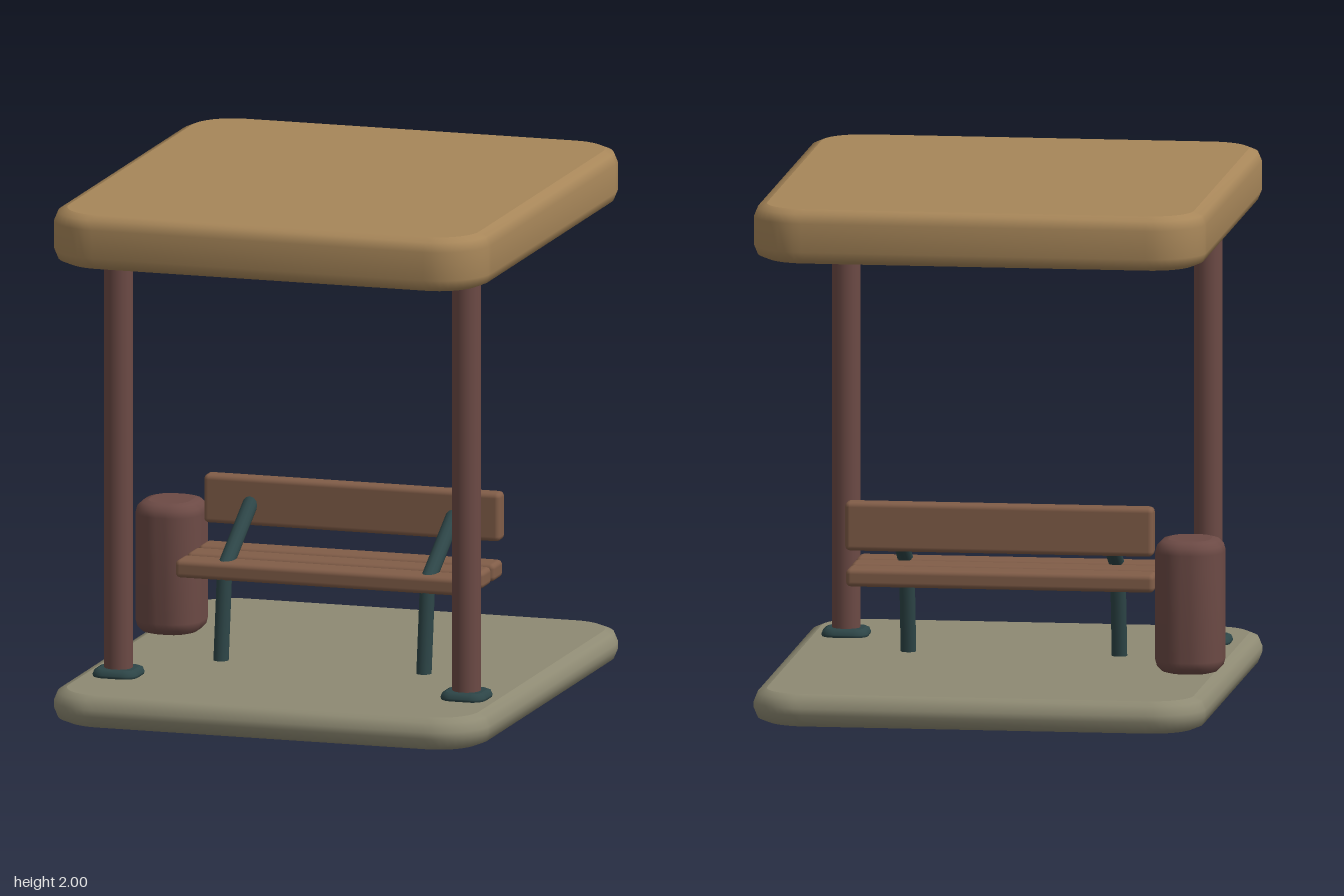
import * as THREE from 'three';
import { mergeVertices, mergeGeometries } from 'three/addons/utils/BufferGeometryUtils.js';
import { RoundedBoxGeometry } from 'three/addons/geometries/RoundedBoxGeometry.js';

const material = (name, color) => {
  const m = new THREE.MeshStandardMaterial({ color });
  m.name = name;
  return m;
};

// Upright pad with rounded plan corners, a smooth bevelled rim and flat caps; bottom at y = 0
function padGeometry(w, d, h, radius, bevel, bevelSegments = 2) {
  const x = w / 2 - bevel, y = d / 2 - bevel, r = radius - bevel, q = Math.PI / 2;
  const shape = new THREE.Shape();
  shape.absarc(x - r, y - r, r, 0, q);
  shape.absarc(-x + r, y - r, r, q, 2 * q);
  shape.absarc(-x + r, -y + r, r, 2 * q, 3 * q);
  shape.absarc(x - r, -y + r, r, 3 * q, 4 * q);
  const raw = new THREE.ExtrudeGeometry(shape, {
    depth: h - 2 * bevel, bevelSize: bevel, bevelThickness: bevel, bevelSegments, curveSegments: 5,
  });
  // group 0 holds the caps, group 1 the rim: smooth the rim only
  const parts = raw.groups.map(({ start, count }, i) => {
    const p = raw.attributes.position.array.slice(start * 3, (start + count) * 3);
    let g = new THREE.BufferGeometry();
    g.setAttribute('position', new THREE.BufferAttribute(p, 3));
    if (i === 1) g = mergeVertices(g, 1e-4);
    g.computeVertexNormals();
    return g.index ? g.toNonIndexed() : g;
  });
  return mergeGeometries(parts).translate(0, 0, bevel).rotateX(-Math.PI / 2);
}

export function createModel() {
  const model = new THREE.Group();
  model.name = 'benchShelter';
  const roofTan = material('roofTan', 0xa78659);
  const stone = material('stone', 0x8e8a73);
  const darkWood = material('darkWood', 0x6c4a45);
  const plankWood = material('plankWood', 0x815d48);
  const teal = material('teal', 0x2d4547);

  const add = (name, geometry, mat, x, y, z, parent = model) => {
    const mesh = new THREE.Mesh(geometry, mat);
    mesh.name = name;
    mesh.position.set(x, y, z);
    parent.add(mesh);
    return mesh;
  };

  // Floor, roof and the round plate beneath the roof
  add('floorSlab', padGeometry(1.745, 1.98, 0.125, 0.21, 0.05), stone, 0, 0, 0);
  add('roof', padGeometry(1.745, 1.97, 0.21, 0.21, 0.05), roofTan, 0, 1.79, 0);
  add('ceilingPlate', new THREE.CylinderGeometry(0.11, 0.11, 0.012, 24), stone, 0, 1.79, 0.545);

  // Posts with foot plates
  const postGeometry = new THREE.CylinderGeometry(0.055, 0.055, 1.73, 20);
  const footGeometry = padGeometry(0.18, 0.18, 0.045, 0.055, 0.02);
  for (const side of [-1, 1]) {
    add('post', postGeometry, darkWood, side * 0.698, 0.945, 0.545);
    add('postFoot', footGeometry, teal, side * 0.698, 0.11, 0.545);
  }

  // Litter bin
  add('bin', padGeometry(0.262, 0.288, 0.515, 0.115, 0.05, 3), darkWood, -0.737, 0.137, -0.245);

  // Bench
  const bench = new THREE.Group();
  bench.name = 'bench';
  model.add(bench);
  const slat = new RoundedBoxGeometry(1.19, 0.07, 0.118, 2, 0.02);
  for (const z of [0.108, -0.037, -0.181]) add('seatSlat', slat, plankWood, 0, 0.467, z, bench);
  add('backrest', new RoundedBoxGeometry(1.19, 0.19, 0.074, 2, 0.02), plankWood, 0, 0.67, -0.228, bench);

  // Round bar between two points in the y-z plane
  const bar = (name, x, [y1, z1], [y2, z2]) => {
    const length = Math.hypot(y2 - y1, z2 - z1);
    const mesh = add(name, new THREE.CylinderGeometry(0.03, 0.03, length, 12), teal,
      x, (y1 + y2) / 2, (z1 + z2) / 2, bench);
    mesh.rotation.x = Math.atan2(z2 - z1, y2 - y1);
  };
  for (const x of [-0.407, 0.407]) {
    bar('benchLeg', x, [0.12, 0.17], [0.48, 0.123]);
    bar('armBrace', x, [0.475, 0.125], [0.668, -0.21]);
  }
  return model;
}
